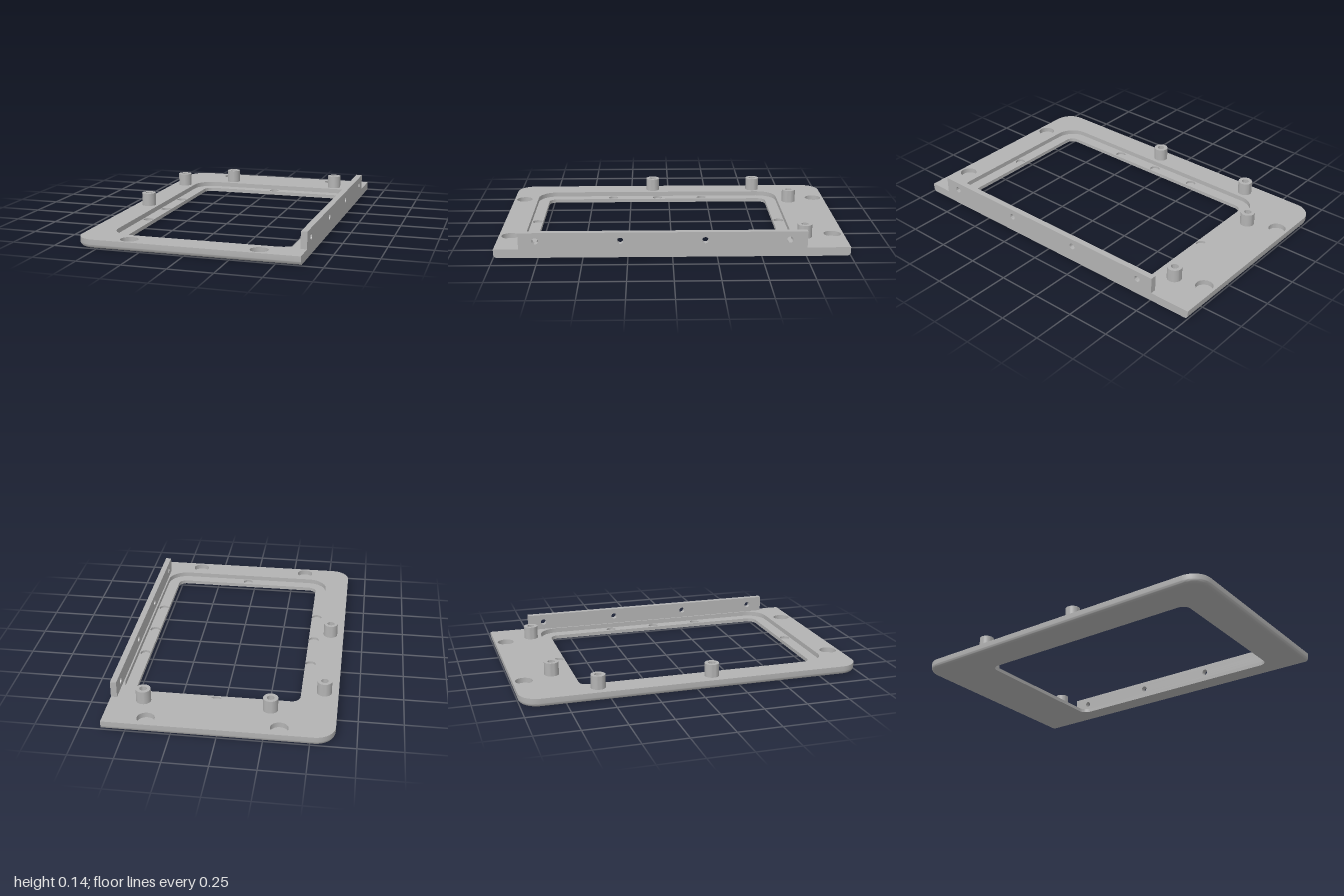
import * as THREE from 'three';
import { toCreasedNormals, mergeGeometries } from 'three/addons/utils/BufferGeometryUtils.js';

const TOP = 0.05, LEDGE = 0.022, X0 = -0.633, X1 = 0.632;

// Rounded rectangle as [x, z] points, counterclockwise from above
function roundRect(x0, x1, z0, z1, rLeft, rRight, n = 10) {
  const pts = [];
  [[x1, z0, rRight, -1, 1], [x0, z0, rLeft, 1, 1], [x0, z1, rLeft, 1, -1], [x1, z1, rRight, -1, -1]]
    .forEach(([x, z, r, sx, sz], k) => {
      if (r === 0) { pts.push([x, z]); return; }
      for (let i = 0; i <= n; i++) {
        const t = (k + i / n) * Math.PI / 2;
        pts.push([x + sx * r + r * Math.cos(t), z + sz * r - r * Math.sin(t)]);
      }
    });
  return pts;
}

function circle(cx, cz, r, n = 32) {
  return Array.from({ length: n }, (_, i) => {
    const t = i / n * Math.PI * 2;
    return [cx + r * Math.cos(t), cz - r * Math.sin(t)];
  });
}

// Flat horizontal face with holes, looking up or down
function sheet(outline, holes, y, up = true) {
  const s = up ? -1 : 1;
  const flat = pts => pts.map(([x, z]) => new THREE.Vector2(x, s * z));
  const shape = new THREE.Shape(flat(outline));
  shape.holes = holes.map(h => new THREE.Path(flat(h)));
  return new THREE.ShapeGeometry(shape).rotateX(s * Math.PI / 2).translate(0, y, 0).toNonIndexed();
}

// Side surface through loops of equal length, listed from bottom to top
function loft(loops) {
  const pos = [], uv = [];
  for (let k = 0; k + 1 < loops.length; k++) {
    const lo = loops[k], hi = loops[k + 1], n = lo.pts.length;
    for (let i = 0; i < n; i++) {
      const j = (i + 1) % n;
      const at = (l, m) => [l.pts[m][0], l.y, l.pts[m][1]];
      const a = at(lo, i), b = at(lo, j), c = at(hi, j), d = at(hi, i);
      pos.push(...a, ...b, ...c, ...a, ...c, ...d);
      uv.push(0, 0, 1, 0, 1, 1, 0, 0, 1, 1, 0, 1);
    }
  }
  const g = new THREE.BufferGeometry();
  g.setAttribute('position', new THREE.Float32BufferAttribute(pos, 3));
  g.setAttribute('uv', new THREE.Float32BufferAttribute(uv, 2));
  g.computeVertexNormals();
  return toCreasedNormals(g, 0.6);
}

// Wall of a pocket or opening, facing inward
function pocketWall(pts, y0, y1) {
  const p = [...pts].reverse();
  return loft([{ pts: p, y: y0 }, { pts: p, y: y1 }]);
}

export function createModel() {
  const model = new THREE.Group();
  const grey = new THREE.MeshStandardMaterial({ color: 0xb3b3b3 });
  grey.name = 'grey';
  const add = (name, geometry) => {
    const mesh = new THREE.Mesh(geometry, grey);
    mesh.name = name;
    model.add(mesh);
    return mesh;
  };

  // Plate outline: rounded left corners, square right edge
  const outline = d => roundRect(X0 + d, X1, -1 + d, 1 - d, 0.11 - d, 0);
  const opening = roundRect(-0.42, 0.52, -0.63, 0.78, 0.05, 0.05);
  const recess = roundRect(-0.488, 0.588, -0.698, 0.848, 0.12, 0.12);

  // Blind round pockets in the plate and in the ledge
  const plateHoles = [];
  for (const x of [-0.333, 0.395]) for (const z of [-0.935, 0.935]) plateHoles.push(circle(x, z, 0.05));
  const ledgeHoles = [circle(0.05, -0.665, 0.03), circle(0.05, 0.813, 0.03)];
  for (const x of [-0.452, 0.552]) for (const z of [-0.215, 0.075, 0.365]) ledgeHoles.push(circle(x, z, 0.03));

  // Frame plate with a filleted lower edge
  const R = 0.022, loops = [];
  for (let i = 0; i <= 6; i++) {
    const t = i / 6 * Math.PI / 2;
    loops.push({ pts: outline(R * (1 - Math.sin(t))), y: R * (1 - Math.cos(t)) });
  }
  loops.push({ pts: outline(0), y: TOP });
  add('framePlate', mergeGeometries([
    loft(loops),
    sheet(outline(R), [opening], 0, false),
    sheet(outline(0), [recess, ...plateHoles], TOP),
  ]));

  // Recessed ledge around the window opening
  add('windowLedge', mergeGeometries([
    sheet(recess, [opening, ...ledgeHoles], LEDGE),
    pocketWall(recess, LEDGE, TOP),
    pocketWall(opening, 0, LEDGE),
  ]));

  const pockets = (holes, y0, y1) =>
    mergeGeometries(holes.flatMap(h => [pocketWall(h, y0, y1), sheet(h, [], y0)]));
  add('cornerPockets', pockets(plateHoles, 0.02, TOP));
  add('ledgePockets', pockets(ledgeHoles, 0.008, LEDGE));

  // Hollow screw bosses
  const profile = [[0.042, TOP], [0.042, 0.127], [0.021, 0.127], [0.021, 0.058], [0, 0.058]]
    .map(([r, y]) => new THREE.Vector2(r, y));
  const bossGeometry = toCreasedNormals(new THREE.LatheGeometry(profile, 32), 0.6);
  for (const [x, z] of [[-0.268, -0.766], [0.442, -0.766], [-0.552, -0.558], [-0.552, 0.105]])
    add('screwBoss', bossGeometry).position.set(x, 0, z);

  // Upright flange on the straight edge, with four through holes
  const zBack = -0.755, zFront = 0.86, wallTop = 0.145;
  const side = new THREE.Shape([[-zFront, TOP], [-zBack, TOP], [-zBack, wallTop], [-zFront, wallTop]]
    .map(([u, v]) => new THREE.Vector2(u, v)));
  for (const z of [0.765, 0.292, -0.183, -0.657])
    side.holes.push(new THREE.Path().absarc(-z, 0.097, 0.018, 0, Math.PI * 2, true));
  const flange = new THREE.ExtrudeGeometry(side, { depth: 0.035, bevelEnabled: false, curveSegments: 24 });
  add('sideFlange', toCreasedNormals(flange.rotateY(Math.PI / 2).translate(X1 - 0.035, 0, 0), 0.6));

  return model;
}
